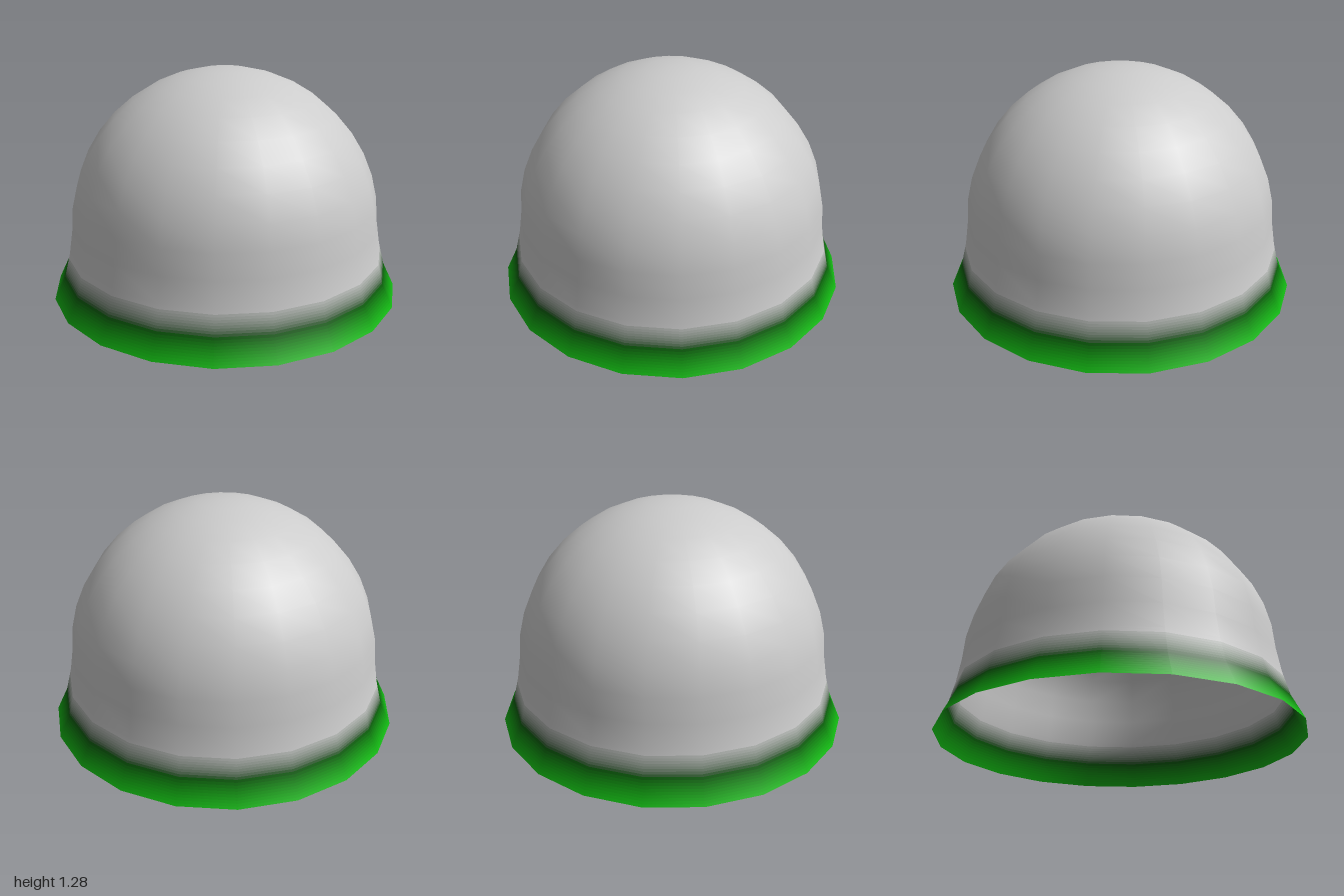
import * as THREE from 'three';

const SIDES = 20;
const BANDS = 10;

// Lathed shell whose smooth normals are given along the profile
function shell(name, points, normals, color) {
  const geometry = new THREE.LatheGeometry(points, SIDES);
  const attr = geometry.attributes.normal;
  for (let i = 0; i <= SIDES; i++) {
    const phi = (i / SIDES) * Math.PI * 2;
    normals.forEach((n, j) =>
      attr.setXYZ(i * points.length + j, n.x * Math.sin(phi), n.y, n.x * Math.cos(phi)));
  }
  const material = new THREE.MeshStandardMaterial({ color, side: THREE.DoubleSide });
  const mesh = new THREE.Mesh(geometry, material);
  mesh.name = name;
  return mesh;
}

export function createModel() {
  const group = new THREE.Group();
  group.name = 'domeHelmet';

  // Profile: flared skirt, then a quarter circle up to the crown
  const profile = [[1, 0], [0.936, 0.134], [0.903, 0.268]].map(([x, y]) => new THREE.Vector2(x, y));
  const radius = 0.882, centreY = 0.403;
  for (let k = 0; k <= 10; k++) {
    const a = (k / 10) * Math.PI / 2;
    profile.push(new THREE.Vector2(k === 10 ? 0 : radius * Math.cos(a), centreY + radius * Math.sin(a)));
  }

  // Outward normals, averaged from the neighbouring profile edges
  const edges = profile.slice(1).map((p, i) => {
    const d = p.clone().sub(profile[i]).normalize();
    return new THREE.Vector2(d.y, -d.x);
  });
  const last = profile.length - 1;
  const normals = profile.map((p, i) => {
    if (i === last) return new THREE.Vector2(0, 1);
    return edges[i].clone().add(edges[Math.max(i - 1, 0)]).normalize();
  });

  // Grey dome above the coloured rim
  group.add(shell('dome', profile.slice(2), normals.slice(2), new THREE.Color(0xcccccc)));

  // Rim: thin bands fading from bright green to dark green to grey
  const rim = new THREE.Group();
  rim.name = 'rim';
  const stops = [0x12bb12, 0x0a560a, 0xcccccc].map((c) => new THREE.Color(c));
  for (let s = 0; s < 2; s++) {
    for (let b = 0; b < BANDS; b++) {
      const ends = [b / BANDS, (b + 1) / BANDS];
      const points = ends.map((t) => profile[s].clone().lerp(profile[s + 1], t));
      const bandNormals = ends.map((t) => normals[s].clone().lerp(normals[s + 1], t).normalize());
      const color = stops[s].clone().lerp(stops[s + 1], (b + 0.5) / BANDS);
      rim.add(shell('rimBand', points, bandNormals, color));
    }
  }
  group.add(rim);
  return group;
}
